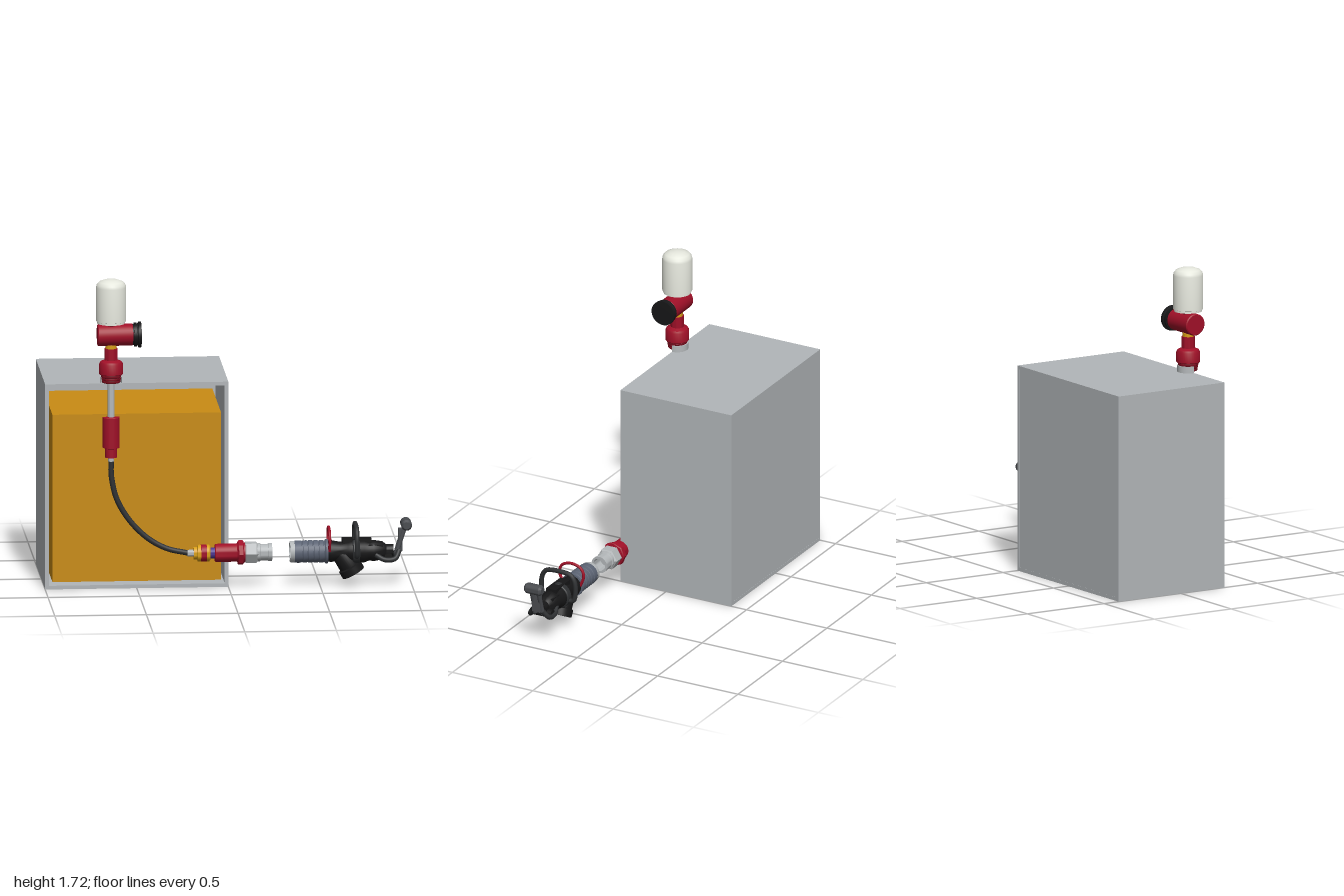
import * as THREE from 'three';
import { toCreasedNormals } from 'three/addons/utils/BufferGeometryUtils.js';

const Z = 0.285; // plane shared by the whole pipe run
const mat = (color) => new THREE.MeshStandardMaterial({ color, side: THREE.DoubleSide });
const M = {
  tank: mat(0xb2b6b9), liquid: mat(0xc98c14), red: mat(0xa01028), darkRed: mat(0x7a0c1e),
  white: mat(0xe6e8de), black: mat(0x171718), dark: mat(0x2e3032), lever: mat(0x4a4c50),
  metal: mat(0xb4b8ba), slate: mat(0x5c6474), yellow: mat(0xd9a016), purple: mat(0x4a3490),
};
const V = (x, y, z = Z) => new THREE.Vector3(x, y, z);

export function createModel() {
  const model = new THREE.Group();
  model.name = 'fuelTankSystem';

  function add(name, geometry, material, parent = model) {
    const mesh = new THREE.Mesh(geometry, material);
    mesh.name = name;
    parent.add(mesh);
    return mesh;
  }
  // Turned part: profile of [radius, height] pairs
  function turned(profile, seg = 32) {
    const pts = profile.map(([r, h]) => new THREE.Vector2(r, h));
    return toCreasedNormals(new THREE.LatheGeometry(pts, seg), 0.6);
  }
  const solid = (r, a, b, c = Math.min(0.005, r * 0.15)) =>
    [[0, a], [r - c, a], [r, a + c], [r, b - c], [r - c, b], [0, b]];
  function upright(name, profile, material, x = -0.64, seg) {
    return add(name, turned(profile, seg).translate(x, 0, Z), material);
  }
  function along(name, profile, material, y = 0.19, seg) {
    return add(name, turned(profile, seg).rotateZ(-Math.PI / 2).translate(0, y, Z), material);
  }
  function tube(name, points, r, material, closed = false, tension = 0.5) {
    const curve = new THREE.CatmullRomCurve3(points, closed, 'catmullrom', tension);
    return add(name, new THREE.TubeGeometry(curve, 48, r, 12, closed), material);
  }
  function box(name, w, h, d, x, y, z, material) {
    return add(name, new THREE.BoxGeometry(w, h, d).translate(x, y, z), material);
  }

  // Tank: open-fronted shell with a back panel
  const rim = (i) => [[-1 + i, i], [-i, i], [-i, 1.14 - i], [-1 + i, 1.14 - i]]
    .map(([x, y]) => new THREE.Vector2(x, y));
  const shell = new THREE.Shape(rim(0));
  shell.holes.push(new THREE.Path(rim(0.02)));
  add('tankShell', new THREE.ExtrudeGeometry(shell, { depth: 0.69, bevelEnabled: false })
    .translate(0, 0, -0.405), M.tank);
  box('tankBack', 0.97, 1.11, 0.02, -0.5, 0.57, -0.394, M.tank);
  box('liquid', 0.92, 0.93, 0.645, -0.5, 0.505, -0.0385, M.liquid);

  // Half collar welded on the tank top
  add('tankCollar', new THREE.CylinderGeometry(0.06, 0.06, 0.055, 24, 1, false, Math.PI / 2, Math.PI)
    .translate(-0.64, 1.148, Z), M.metal);

  // Vent column
  upright('ventCap', [[0, 1.475], [0.076, 1.475], [0.076, 1.486], [0.082, 1.488], [0.082, 1.675],
    [0.079, 1.69], [0.066, 1.705], [0.04, 1.715], [0, 1.72]], M.white, -0.64, 40);
  upright('ventNeck', solid(0.032, 1.45, 1.48), M.darkRed);
  along('valveBody', solid(0.06, -0.715, -0.52), M.red, 1.41);
  along('valveCap', [[0, -0.525], [0.058, -0.525], [0.058, -0.515], [0.066, -0.515], [0.066, -0.502],
    [0.061, -0.5], [0.061, -0.494], [0.07, -0.492], [0.07, -0.477], [0, -0.475]], M.black, 1.41);
  upright('ventSeal', solid(0.03, 1.325, 1.36), M.yellow);
  upright('couplingBody', [[0, 1.19], [0.06, 1.19], [0.065, 1.195], [0.065, 1.25], [0.058, 1.262],
    [0.036, 1.272], [0.036, 1.335], [0, 1.335]], M.red);
  for (let i = 0; i < 3; i++) {
    upright('couplingThread', solid(0.055 - i * 0.002, 1.174 - i * 0.014, 1.19 - i * 0.014, 0.004), M.darkRed);
  }
  upright('dropPipe', solid(0.019, 0.94, 1.16), M.metal);
  upright('floatValve', [[0, 0.73], [0.033, 0.73], [0.033, 0.78], [0.047, 0.785], [0.047, 0.952],
    [0.044, 0.955], [0, 0.955]], M.red);
  upright('hoseFittingTop', [[0, 0.69], [0.013, 0.69], [0.013, 0.705], [0.017, 0.708], [0.017, 0.73], [0, 0.73]], M.metal);

  // Hose sweeping down to the outlet
  tube('hose', [V(-0.64, 0.71), V(-0.638, 0.62), V(-0.61, 0.5), V(-0.545, 0.385), V(-0.45, 0.285),
    V(-0.34, 0.22), V(-0.215, 0.19)], 0.015, M.dark);

  // Outlet coupling
  along('hoseFittingEnd', solid(0.019, -0.225, -0.185), M.metal);
  along('outletCollar', [[0, -0.19], [0.035, -0.19], [0.035, -0.172], [0.046, -0.168], [0.046, -0.105],
    [0.04, -0.1], [0, -0.1]], M.yellow);
  along('outletRedBand', solid(0.047, -0.155, -0.115), M.red);
  along('outletSeal', solid(0.03, -0.11, -0.07), M.purple);
  along('outletBody', [[0, -0.075], [0.045, -0.075], [0.05, -0.07], [0.05, 0.045], [0.055, 0.05],
    [0.055, 0.09], [0, 0.09]], M.red);
  along('outletNut', solid(0.068, 0.05, 0.082), M.red, 0.19, 8);
  along('outletHex', solid(0.062, 0.085, 0.16, 0.01), M.metal, 0.19, 6);
  along('outletPipe', [[0.036, 0.15], [0.05, 0.15], [0.05, 0.172], [0.045, 0.175], [0.045, 0.215],
    [0.048, 0.217], [0.048, 0.237], [0.036, 0.237], [0.036, 0.15]], M.metal);

  // Nozzle sleeve
  along('sleeveEnd', [[0.046, 0.4], [0.046, 0.335], [0.056, 0.335], [0.058, 0.34], [0.058, 0.38]], M.metal);
  const sleeve = [[0.05, 0.36], [0.059, 0.36]];
  for (let i = 0; i < 5; i++) {
    const x = 0.375 + i * 0.03;
    sleeve.push([0.061, x], [0.061, x + 0.022], [0.058, x + 0.024], [0.058, x + 0.028]);
  }
  sleeve.push([0.066, 0.53], [0.066, 0.542], [0, 0.545]);
  along('sleeve', sleeve, M.slate);

  // Red locking loop
  tube('lockLoop', [V(0.548, 0.2, Z - 0.055), V(0.548, 0.26, Z - 0.075), V(0.548, 0.305, Z - 0.055),
    V(0.548, 0.322, Z), V(0.548, 0.305, Z + 0.055), V(0.548, 0.26, Z + 0.075), V(0.548, 0.2, Z + 0.055)], 0.008, M.red);

  // Nozzle body and angled spout
  along('nozzleBody', [[0, 0.535], [0.054, 0.535], [0.06, 0.56], [0.05, 0.61], [0.058, 0.65], [0.064, 0.67],
    [0.064, 0.74], [0.054, 0.77], [0.058, 0.79], [0.05, 0.84], [0.034, 0.86], [0.034, 0.9], [0, 0.9]], M.black);
  const spout = add('spout', turned([[0, -0.15], [0.04, -0.15], [0.057, -0.12], [0.057, -0.045], [0.066, -0.04],
    [0.066, 0], [0.056, 0], [0.052, -0.05], [0, -0.05]]), M.black);
  spout.position.copy(V(0.682, 0.068));
  spout.quaternion.setFromUnitVectors(V(0, 1, 0), V(0.49, -0.87, 0).normalize());
  box('topRib', 0.16, 0.05, 0.06, 0.7, 0.235, Z, M.black).rotation.z = 0;
  box('rearBlock', 0.08, 0.06, 0.085, 0.8, 0.2, Z, M.black);

  // Guard handle on both sides of the body
  tube('guardHandle', [V(0.695, 0.175, Z - 0.04), V(0.695, 0.18, Z - 0.095), V(0.695, 0.255, Z - 0.106),
    V(0.695, 0.31, Z - 0.09), V(0.695, 0.332, Z - 0.05), V(0.695, 0.332, Z + 0.05), V(0.695, 0.31, Z + 0.09),
    V(0.695, 0.255, Z + 0.106), V(0.695, 0.18, Z + 0.095), V(0.695, 0.175, Z + 0.04)], 0.013, M.dark);
  along('guardFlange', solid(0.072, 0.675, 0.715), M.dark);

  // Forked lever with a crossbar grip
  for (const s of [-1, 1]) {
    tube('leverFork', [V(0.8, 0.175, Z + s * 0.045), V(0.85, 0.15, Z + s * 0.06),
      V(0.905, 0.155, Z + s * 0.058), V(0.93, 0.195, Z + s * 0.03)], 0.014, M.dark);
    tube('leverArm', [V(0.915, 0.17, Z + s * 0.025), V(0.935, 0.24, Z + s * 0.022),
      V(0.965, 0.33, Z + s * 0.022)], 0.012, M.lever);
  }
  add('leverHub', new THREE.CylinderGeometry(0.024, 0.024, 0.12, 20).rotateX(Math.PI / 2)
    .translate(0.87, 0.16, Z), M.black);
  box('leverWeb', 0.022, 0.12, 0.05, 0.938, 0.25, Z, M.lever);
  add('leverGrip', turned([[0, -0.053], [0.02, -0.053], [0.03, -0.04], [0.03, 0.04], [0.02, 0.053], [0, 0.053]], 24)
    .rotateX(Math.PI / 2).translate(0.97, 0.335, Z), M.lever);

  return model;
}
